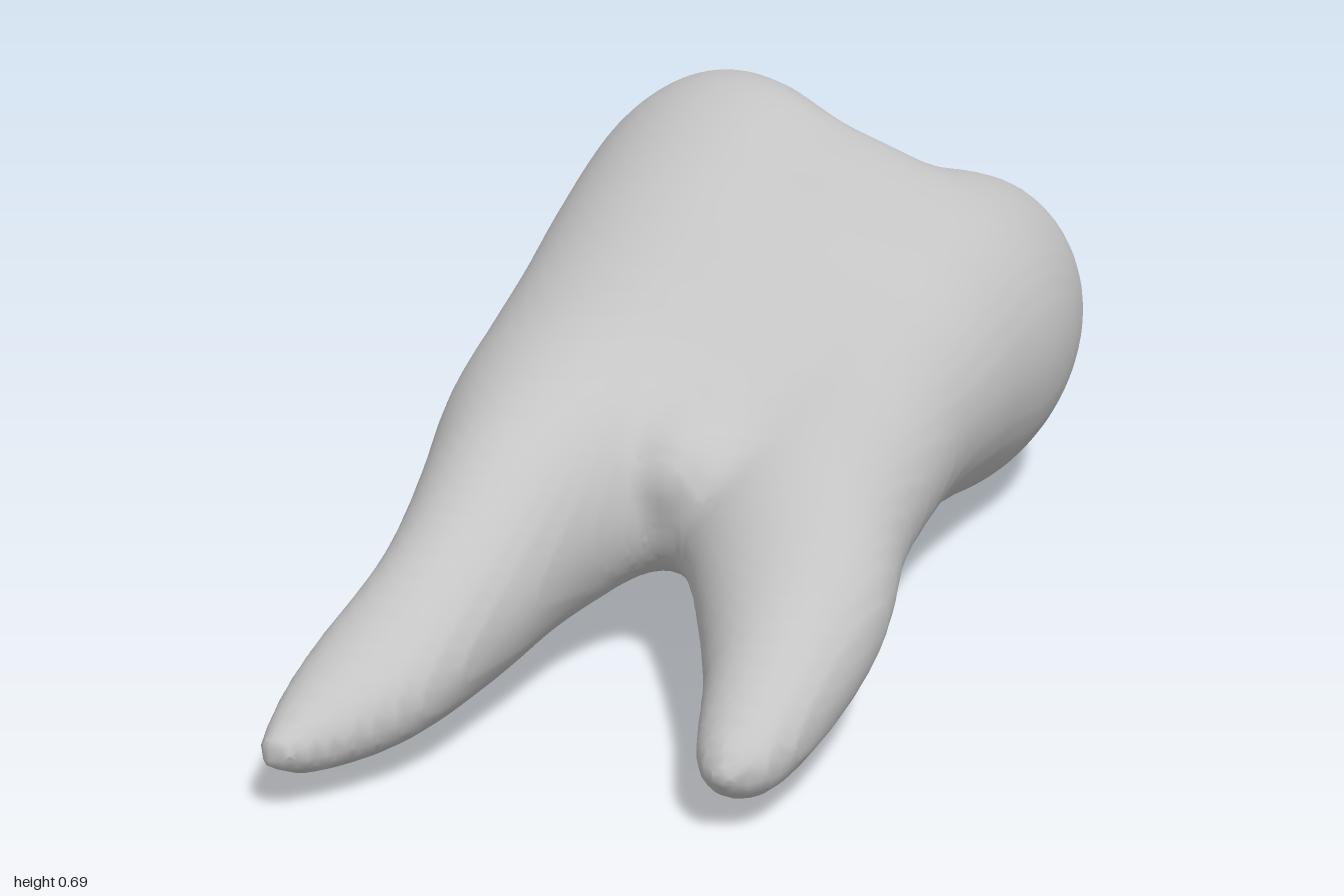
import * as THREE from 'three';

// Each lobe runs from back to front as cross-section limits: [z, xMin, xMax, yMin, yMax]
const RIGHT_LOBE = [
  [-1, -0.35, -0.35, 0.42, 0.42], [-0.95, -0.455, -0.235, 0.28, 0.52], [-0.9, -0.485, -0.16, 0.21, 0.58],
  [-0.8, -0.51, -0.06, 0.125, 0.67], [-0.7, -0.515, 0.05, 0.08, 0.7], [-0.6, -0.505, 0.12, 0.07, 0.7],
  [-0.4, -0.465, 0.14, 0.08, 0.64], [-0.2, -0.415, 0.14, 0.095, 0.578], [0, -0.365, 0.14, 0.105, 0.53],
  [0.2, -0.315, 0.12, 0.095, 0.485], [0.4, -0.25, 0.05, 0.07, 0.41], [0.6, -0.205, 0.025, 0.055, 0.31],
  [0.8, -0.2, 0, 0.05, 0.22], [0.95, -0.175, -0.085, 0.06, 0.14], [1, -0.14, -0.14, 0.1, 0.1],
];
const LEFT_LOBE = [
  [-1, 0.2, 0.2, 0.31, 0.31], [-0.95, 0.1, 0.28, 0.2, 0.42], [-0.9, 0.05, 0.325, 0.14, 0.475],
  [-0.8, -0.03, 0.37, 0.07, 0.54], [-0.6, -0.14, 0.402, 0.025, 0.58], [-0.4, -0.13, 0.4, 0.05, 0.55],
  [-0.2, -0.08, 0.4, 0.08, 0.488], [0, 0, 0.42, 0.095, 0.43], [0.2, 0.07, 0.45, 0.09, 0.38],
  [0.4, 0.2, 0.5, 0.07, 0.31], [0.6, 0.31, 0.51, 0.05, 0.24], [0.75, 0.37, 0.49, 0.05, 0.16],
  [0.81, 0.43, 0.43, 0.1, 0.1],
];
// Core that fills the body between the lobes, up to the fork of the roots
const CORE = [
  [-0.82, -0.04, -0.04, 0.3, 0.3], [-0.79, -0.12, 0.04, 0.18, 0.45], [-0.7, -0.25, 0.19, 0.04, 0.585],
  [-0.6, -0.3, 0.27, 0.012, 0.622], [-0.4, -0.28, 0.27, 0.04, 0.585], [-0.2, -0.23, 0.27, 0.08, 0.525],
  [0, -0.18, 0.25, 0.11, 0.47], [0.15, -0.11, 0.23, 0.16, 0.425], [0.27, 0.03, 0.19, 0.22, 0.385],
  [0.325, 0.12, 0.12, 0.31, 0.31],
];

// Turn limits into centre and squared radii, so the ends close round
const toKeys = (rows) => rows.map(([z, x0, x1, y0, y1]) =>
  [z, (x0 + x1) / 2, (y0 + y1) / 2, ((x1 - x0) / 2) ** 2, ((y1 - y0) / 2) ** 2]);

// Smooth (cubic) cross-section of a lobe at depth z
function sectionAt(keys, z) {
  const n = keys.length;
  const t = Math.min(Math.max(z, keys[0][0]), keys[n - 1][0]);
  let i = 0;
  while (i < n - 2 && t > keys[i + 1][0]) i++;
  const a = keys[i], b = keys[i + 1], h = b[0] - a[0], u = (t - a[0]) / h;
  const slope = (k, c) => {
    const p = keys[Math.max(k - 1, 0)], q = keys[Math.min(k + 1, n - 1)];
    return (q[c] - p[c]) / (q[0] - p[0]);
  };
  const value = (c) => a[c] * (1 + 2 * u) * (1 - u) ** 2 + b[c] * u * u * (3 - 2 * u)
    + h * (slope(i, c) * u * (1 - u) ** 2 - slope(i + 1, c) * u * u * (1 - u));
  return {
    x: value(1), y: value(2),
    rx: Math.sqrt(Math.max(value(3), 1e-5)), ry: Math.sqrt(Math.max(value(4), 1e-5)),
    beyond: Math.abs(z - t),
  };
}

const ellipse = (s, x, y) =>
  (Math.hypot((x - s.x) / s.rx, (y - s.y) / s.ry) - 1) * Math.min(s.rx, s.ry) + s.beyond;

function smoothUnion(a, b, k) {
  const h = Math.max(k - Math.abs(a - b), 0) / k;
  return Math.min(a, b) - h * h * k / 4;
}

// Surface of the blended lobes, taken from a grid of distances
function blendedSurface() {
  const step = 0.018, low = [-0.6, -0.08, -1.05], size = [68, 48, 118];
  const [nx, ny, nz] = size;
  const stride = [1, nx, nx * ny];
  const field = new Float32Array(nx * ny * nz);
  const lobes = [RIGHT_LOBE, LEFT_LOBE, CORE].map(toKeys);
  for (let k = 0; k < nz; k++) {
    const [r, l, core] = lobes.map((keys) => sectionAt(keys, low[2] + k * step));
    for (let j = 0; j < ny; j++) for (let i = 0; i < nx; i++) {
      const x = low[0] + i * step, y = low[1] + j * step;
      const pair = smoothUnion(ellipse(r, x, y), ellipse(l, x, y), 0.1);
      field[i + j * nx + k * nx * ny] = smoothUnion(pair, ellipse(core, x, y), 0.06);
    }
  }

  // One vertex in every cell the surface crosses
  const positions = [], index = [], cell = new Int32Array(field.length).fill(-1);
  for (let k = 0; k < nz - 1; k++) for (let j = 0; j < ny - 1; j++) for (let i = 0; i < nx - 1; i++) {
    const base = i + j * nx + k * nx * ny, sum = [0, 0, 0];
    let count = 0;
    for (let c = 0; c < 8; c++) {
      const corner = [c & 1, (c >> 1) & 1, c >> 2];
      const p = base + corner[0] + corner[1] * nx + corner[2] * nx * ny;
      for (let a = 0; a < 3; a++) {
        if (corner[a]) continue;
        const f0 = field[p], f1 = field[p + stride[a]];
        if ((f0 < 0) === (f1 < 0)) continue;
        for (let m = 0; m < 3; m++) sum[m] += corner[m] + (m === a ? f0 / (f0 - f1) : 0);
        count++;
      }
    }
    if (!count) continue;
    cell[base] = positions.length / 3;
    [i, j, k].forEach((g, m) => positions.push(low[m] + (g + sum[m] / count) * step));
  }

  // One quad across every grid edge the surface crosses
  for (let k = 1; k < nz - 1; k++) for (let j = 1; j < ny - 1; j++) for (let i = 1; i < nx - 1; i++) {
    const p = i + j * nx + k * nx * ny;
    for (let a = 0; a < 3; a++) {
      const inside = field[p] < 0;
      if (inside === (field[p + stride[a]] < 0)) continue;
      const b = stride[(a + 1) % 3], c = stride[(a + 2) % 3];
      const q = [cell[p - b - c], cell[p - c], cell[p], cell[p - b]];
      if (!inside) q.reverse();
      index.push(q[0], q[1], q[2], q[0], q[2], q[3]);
    }
  }

  const geometry = new THREE.BufferGeometry();
  geometry.setAttribute('position', new THREE.Float32BufferAttribute(positions, 3));
  geometry.setIndex(index);
  geometry.computeBoundingBox();
  geometry.translate(0, -geometry.boundingBox.min.y, 0);
  geometry.computeVertexNormals();
  return geometry;
}

export function createModel() {
  const group = new THREE.Group();
  group.name = 'tooth';
  const enamel = new THREE.MeshStandardMaterial({ color: 0xc4c4c4 });
  enamel.name = 'enamel grey';
  // Crown with two cusps and two roots
  const tooth = new THREE.Mesh(blendedSurface(), enamel);
  tooth.name = 'crownAndRoots';
  group.add(tooth);
  return group;
}
